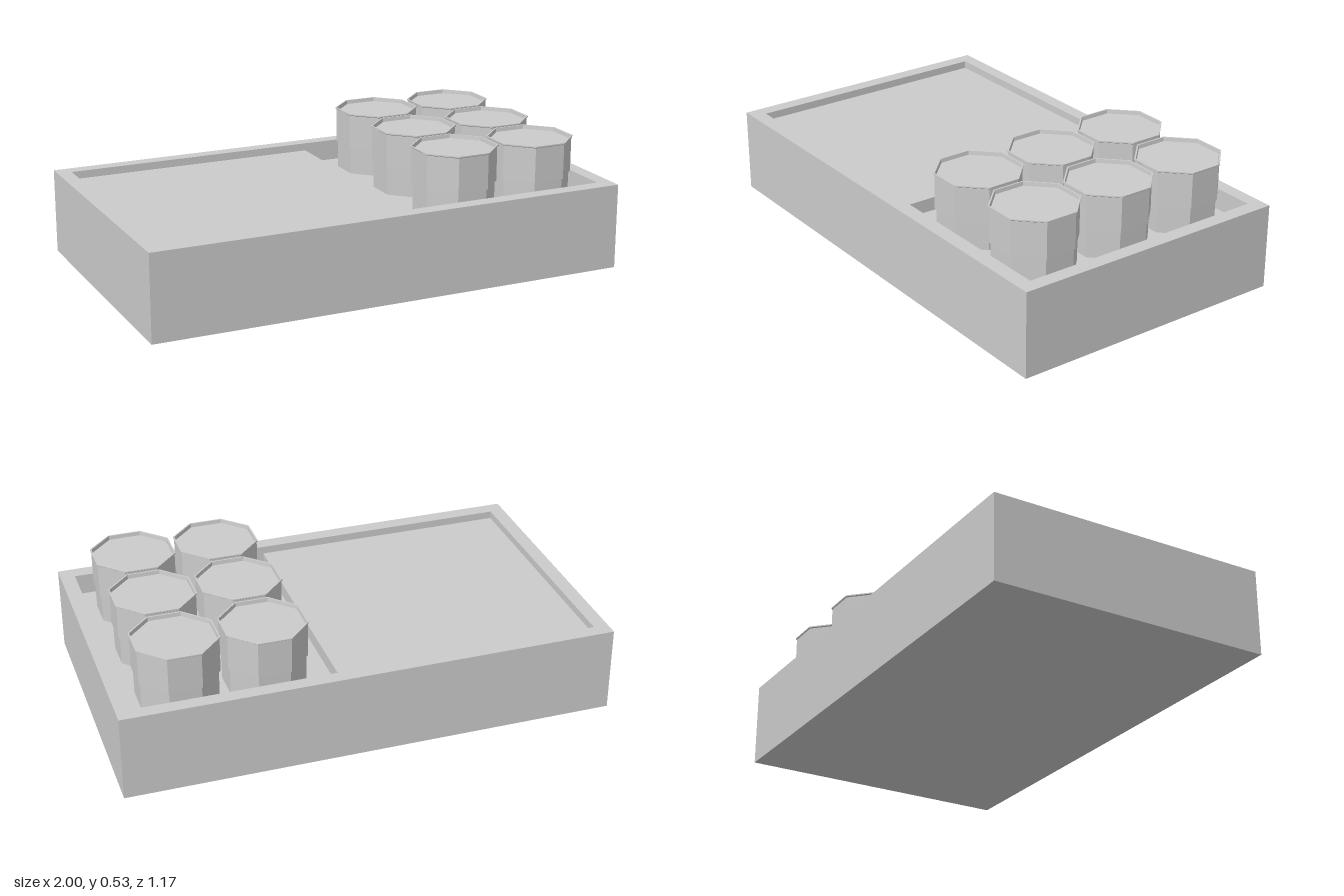
import * as THREE from 'three';

const material = new THREE.MeshStandardMaterial({ color: 0xcccccc, flatShading: true });

function rectangle(Type, x0, x1, z0, z1) {
  return new Type([[x0, -z1], [x1, -z1], [x1, -z0], [x0, -z0]].map(([x, y]) => new THREE.Vector2(x, y)));
}

function box(name, x0, x1, y0, y1, z0, z1) {
  const mesh = new THREE.Mesh(new THREE.BoxGeometry(x1 - x0, y1 - y0, z1 - z0), material);
  mesh.name = name;
  mesh.position.set((x0 + x1) / 2, (y0 + y1) / 2, (z0 + z1) / 2);
  return mesh;
}

export function createModel() {
  const group = new THREE.Group();
  group.name = 'trayWithCups';

  const height = 0.352, halfDepth = 0.587;
  const inX = 0.94, inZ0 = -0.53, inZ1 = 0.525;
  const slabEdge = 0.12, slabTop = 0.32, wellFloor = 0.265;

  // Outer walls: a rectangular frame extruded upwards
  const frame = rectangle(THREE.Shape, -1, 1, -halfDepth, halfDepth);
  frame.holes.push(rectangle(THREE.Path, -inX, inX, inZ0, inZ1));
  const wallGeometry = new THREE.ExtrudeGeometry(frame, { depth: height, bevelEnabled: false });
  wallGeometry.rotateX(-Math.PI / 2);
  const walls = new THREE.Mesh(wallGeometry, material);
  walls.name = 'trayWalls';
  group.add(walls);

  // Raised panel on one side, lower well for the cups on the other
  group.add(box('raisedPanel', -inX, slabEdge, 0, slabTop, inZ0, inZ1));
  group.add(box('cupWell', slabEdge, inX, 0, wellFloor, inZ0, inZ1));

  // Octagonal cup: narrow base, wider band, flared lip and sunken lid
  const toCorner = 1 / Math.cos(Math.PI / 8);
  const profile = [
    [0, wellFloor], [0.152, wellFloor], [0.153, 0.38], [0.159, 0.38],
    [0.159, 0.522], [0.163, 0.525], [0.163, 0.53], [0.157, 0.53], [0.155, 0.514], [0, 0.514],
  ].map(([r, y]) => new THREE.Vector2(r * toCorner, y));
  const cupGeometry = new THREE.LatheGeometry(profile, 8, Math.PI / 8);

  for (const x of [0.377, 0.725]) {
    for (const z of [-0.352, -0.005, 0.342]) {
      const cup = new THREE.Mesh(cupGeometry, material);
      cup.name = 'cup';
      cup.position.set(x, 0, z);
      group.add(cup);
    }
  }
  return group;
}
